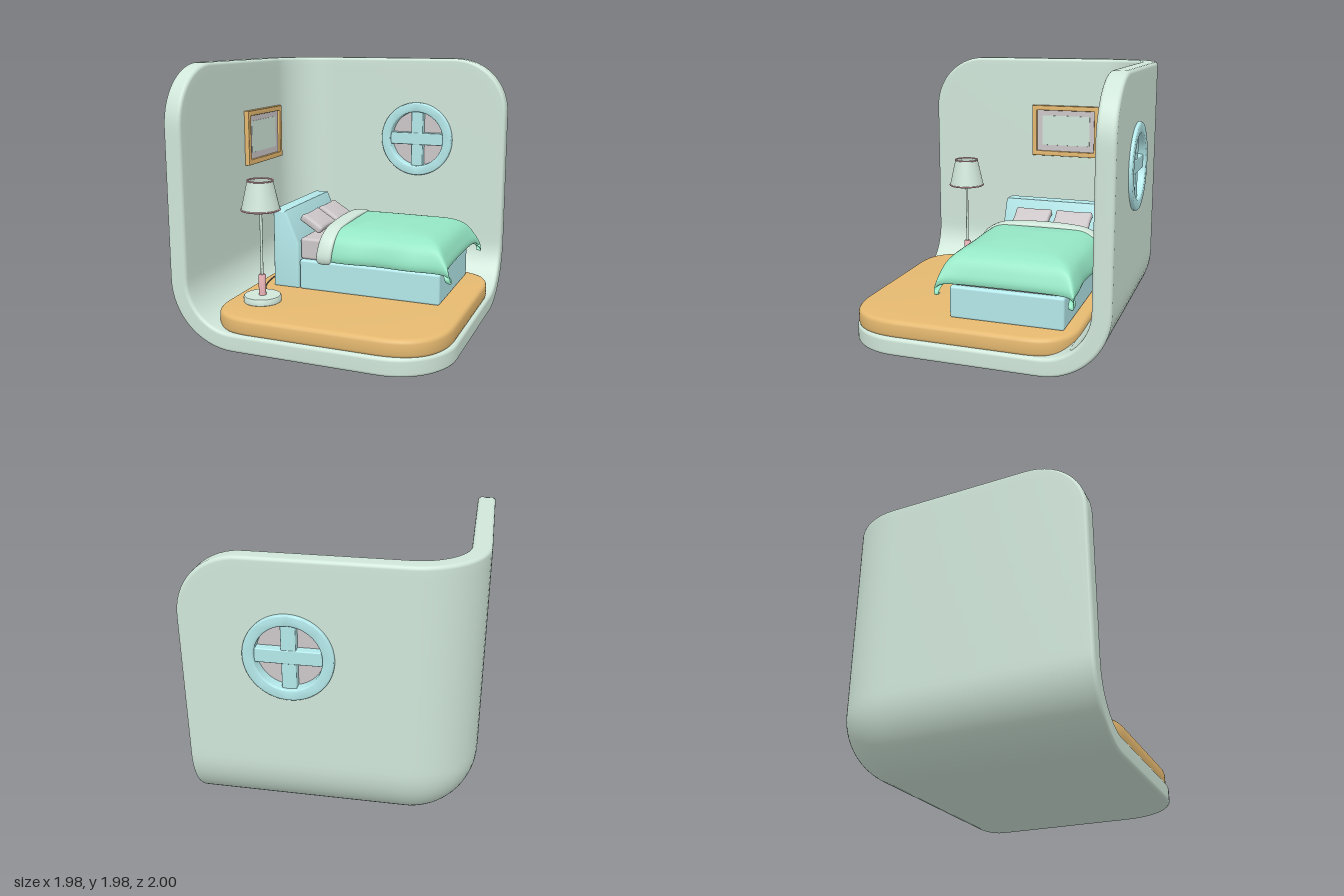
import * as THREE from 'three';
import { mergeVertices, toCreasedNormals } from 'three/addons/utils/BufferGeometryUtils.js';
import { RoundedBoxGeometry } from 'three/addons/geometries/RoundedBoxGeometry.js';
import { ParametricGeometry } from 'three/addons/geometries/ParametricGeometry.js';

const WALL = 0xd0e6d9, TAN = 0xe5b970, BLUE = 0xb4e8ea, GREEN = 0x94e6c4, PINK = 0xe6b0b4, GREY = 0xccc6c8, DARK = 0x8a8482;

function add(parent, name, geometry, color, side = THREE.FrontSide) {
  const mesh = new THREE.Mesh(geometry, new THREE.MeshStandardMaterial({ color, side }));
  mesh.name = name;
  parent.add(mesh);
  return mesh;
}

// Box given by its min and max corners, with rounded edges
function box(parent, name, color, [x0, y0, z0], [x1, y1, z1], r = 0.012) {
  const mesh = add(parent, name, new RoundedBoxGeometry(x1 - x0, y1 - y0, z1 - z0, 3, r), color);
  mesh.position.set((x0 + x1) / 2, (y0 + y1) / 2, (z0 + z1) / 2);
  return mesh;
}

// Bevelled extrusion from z = 0 to z = depth that keeps the outline size
function slab(shape, depth, bevel) {
  const g = new THREE.ExtrudeGeometry(shape, {
    depth: depth - 2 * bevel, bevelThickness: bevel, bevelSize: bevel, bevelOffset: -bevel,
    bevelSegments: 3, curveSegments: 32,
  });
  return toCreasedNormals(g.translate(0, 0, bevel), 0.6);
}

const WINDOW = { x: 0.25, y: 1.307 };

// Three walls of a rounded cube corner, with thickness, a bevelled rim and a window hole
function roomShell() {
  const L = 1.975, r = 0.48, R = 0.43, t = 0.132, b = 0.025, N = 36, hole = 0.262;
  const origin = [-0.99, 0, -0.975], wx = WINDOW.x - origin[0], wy = WINDOW.y;
  const positions = [], index = [];
  const point = (k, u, v, shrink, depth) => {
    const size = L - shrink, rc = R - shrink, c = [u * size, v * size];
    const a = c[0] - size + rc, e = c[1] - size + rc;
    if (a > 0 && e > 0) {
      const m = Math.max(a, e) / Math.hypot(a, e);
      c[0] = size - rc + a * m;
      c[1] = size - rc + e * m;
    }
    const dist = Math.hypot(c[0] - wx, c[1] - wy);
    if (k === 2 && dist < hole) { // push points out to the edge of the hole
      const m = hole / Math.max(dist, 1e-6);
      c[0] = wx + (c[0] - wx) * m;
      c[1] = wy + (c[1] - wy) * m;
    }
    const p = [0, 0, 0];
    p[(k + 1) % 3] = c[0];
    p[(k + 2) % 3] = c[1];
    const q = p.map((w) => Math.max(w, r)), d = p.map((w, i) => w - q[i]);
    const s = (r - depth) / Math.hypot(...d);
    return q.map((w, i) => w + d[i] * s);
  };
  const inHole = (i) => positions[3 * i + 2] < 0.2
    && Math.hypot(positions[3 * i] - wx, positions[3 * i + 1] - wy) < hole + 1e-4;
  const grid = (nu, nv, f, flip) => {
    const start = positions.length / 3;
    for (let i = 0; i <= nu; i++) for (let j = 0; j <= nv; j++) positions.push(...f(i, j));
    for (let i = 0; i < nu; i++) for (let j = 0; j < nv; j++) {
      const p = start + i * (nv + 1) + j, q = p + nv + 1;
      if ([p, p + 1, q, q + 1].every(inHole)) continue;
      if (flip) index.push(p, p + 1, q + 1, p, q + 1, q);
      else index.push(p, q, q + 1, p, q + 1, p + 1);
    }
  };
  const rim = [];
  for (let i = 0; i <= 4; i++) {
    const a = (i / 4) * Math.PI / 2;
    rim.push([b - b * Math.sin(a), b - b * Math.cos(a)]);
  }
  const layers = [...rim, ...rim.map(([s, d]) => [s, t - d]).reverse()];
  for (let k = 0; k < 3; k++) {
    grid(N, N, (i, j) => point(k, i / N, j / N, b, 0), true);
    grid(N, N, (i, j) => point(k, i / N, j / N, b, t), false);
    grid(2 * N, layers.length - 1, (i, j) =>
      point(k, Math.min(1, 2 - i / N), Math.min(1, i / N), ...layers[j]), false);
  }
  let g = new THREE.BufferGeometry();
  g.setAttribute('position', new THREE.Float32BufferAttribute(positions, 3));
  g.setIndex(index);
  g = mergeVertices(g, 1e-4);
  g.computeVertexNormals();
  return g.translate(...origin);
}

// Cushion: a rounded box with pinched sides and a fuller middle
function pillowGeometry(w, h, d) {
  let g = new THREE.BoxGeometry(w, h, d, 14, 6, 18);
  const P = g.attributes.position, r = 0.022, p = new THREE.Vector3();
  const lim = new THREE.Vector3(w / 2 - r, h / 2 - r, d / 2 - r);
  for (let i = 0; i < P.count; i++) {
    p.fromBufferAttribute(P, i);
    const q = p.clone().clamp(lim.clone().negate(), lim);
    p.sub(q).setLength(r).add(q);
    const a = 1 - (2 * p.x / w) ** 2, c = 1 - (2 * p.z / d) ** 2;
    P.setXYZ(i, p.x * (1 - 0.09 * c), p.y * (0.88 + 0.14 * a * c), p.z * (1 - 0.05 * a));
  }
  g.deleteAttribute('uv');
  g.deleteAttribute('normal');
  g = mergeVertices(g, 1e-5);
  g.computeVertexNormals();
  return g;
}

const curve = (pts) => new THREE.CatmullRomCurve3(pts.map(([x, y]) => new THREE.Vector3(x, y, 0)));
// Cloth profiles: distance outwards and drop from the top
const sideDrape = curve([[0, 0], [0.2, 0.008], [0.34, 0.03], [0.43, 0.085], [0.47, 0.16], [0.482, 0.225], [0.47, 0.256], [0.445, 0.25]]);
const footDrape = curve([[-0.14, 0.028], [0, 0.015], [0.15, 0], [0.5, 0.01], [0.66, 0.032], [0.74, 0.08], [0.785, 0.16], [0.8, 0.215], [0.79, 0.245], [0.76, 0.235]]);
const TOP = 0.755, MID = -0.2;

function blanketPoint(u, v, out) {
  const t = v * 2 - 1, sign = Math.sign(t);
  const f = footDrape.getPoint(u), s = sideDrape.getPoint(Math.abs(t));
  const corner = Math.max(0, f.x) * (f.y / 0.245) * (s.y / 0.258);
  const drop = (Math.abs(f.y) ** 4 + Math.abs(s.y) ** 4) ** 0.25;
  const wave = 0.008 * Math.sin(f.x * 13 + sign) * s.y / 0.258;
  out.set(f.x + 0.08 * corner, TOP - drop - 0.03 * corner * corner, MID + sign * (s.x + wave + 0.025 * corner));
}

// Flattened tube that follows the side profile across the bed
function foldPoint(u, v, out) {
  const t = (u * 2 - 1) * 0.9, sign = Math.sign(t), a = Math.abs(t);
  const p = sideDrape.getPoint(a), n = sideDrape.getTangent(a);
  const end = Math.sqrt(Math.max(0, 1 - Math.abs(u * 2 - 1) ** 16));
  const phi = v * Math.PI * 2, c = Math.cos(phi), s = Math.sin(phi);
  const across = 0.06 * end * Math.sign(c) * Math.abs(c) ** 0.6;
  const lift = 0.005 + 0.024 * end * Math.sign(s) * Math.abs(s) ** 0.7;
  out.set(-0.11 + across + 0.008 * Math.sin(t * 6), TOP - 0.022 - p.y * 0.92 + n.x * lift, MID + sign * (p.x + n.y * lift));
}

// Rounded rectangle, one corner size per corner, anticlockwise from (x0, y0)
function roundedRect(x0, y0, x1, y1, [a, b, c, d]) {
  const s = new THREE.Shape();
  s.moveTo(x0 + a, y0);
  s.lineTo(x1 - b, y0).quadraticCurveTo(x1, y0, x1, y0 + b);
  s.lineTo(x1, y1 - c).quadraticCurveTo(x1, y1, x1 - c, y1);
  s.lineTo(x0 + d, y1).quadraticCurveTo(x0, y1, x0, y1 - d);
  s.lineTo(x0, y0 + a).quadraticCurveTo(x0, y0, x0 + a, y0);
  return s;
}

const polygon = (pts) => new THREE.Shape(pts.map(([x, y]) => new THREE.Vector2(x, y)));

export function createModel() {
  const model = new THREE.Group();
  model.name = 'bedroom';
  add(model, 'roomShell', roomShell(), WALL);

  // Raised floor
  add(model, 'floor', slab(roundedRect(-0.73, -0.98, 0.962, 0.705, [0.34, 0.44, 0.34, 0.34]), 0.13, 0.03)
    .rotateX(-Math.PI / 2).translate(0, 0.12, 0), TAN);

  // Round window
  const win = new THREE.Group();
  win.name = 'window';
  win.position.set(WINDOW.x, WINDOW.y, 0);
  model.add(win);
  const ring = new THREE.Shape().absarc(0, 0, 0.305, 0, Math.PI * 2);
  ring.holes.push(new THREE.Path().absarc(0, 0, 0.227, 0, Math.PI * 2, true));
  add(win, 'windowFrame', slab(ring, 0.185, 0.012).translate(0, 0, -1), BLUE);
  add(win, 'windowPane', new THREE.CylinderGeometry(0.24, 0.24, 0.02, 48).rotateX(Math.PI / 2).translate(0, 0, -0.907), GREY);
  box(win, 'verticalBar', BLUE, [-0.05, -0.24, -0.975], [0.05, 0.24, -0.84], 0.008);
  box(win, 'horizontalBar', BLUE, [-0.24, -0.05, -0.978], [0.24, 0.05, -0.837], 0.008);

  // Wall picture
  const picture = new THREE.Group();
  picture.name = 'wallPicture';
  model.add(picture);
  const frame = polygon([[-0.108, 1.16], [0.465, 1.16], [0.465, 1.585], [-0.108, 1.585]]);
  frame.holes.push(polygon([[-0.07, 1.2], [-0.07, 1.545], [0.427, 1.545], [0.427, 1.2]]));
  add(picture, 'pictureFrame', slab(frame, 0.045, 0.004).rotateY(Math.PI / 2).translate(-0.865, 0, 0), TAN);
  box(picture, 'pictureMat', GREY, [-0.87, 1.19, -0.435], [-0.842, 1.555, 0.08], 0.002);
  box(picture, 'pictureSheet', WALL, [-0.86, 1.25, -0.385], [-0.84, 1.5, 0.025], 0.001);

  // Bed
  const bed = new THREE.Group();
  bed.name = 'bed';
  model.add(bed);
  box(bed, 'bedBase', BLUE, [-0.35, 0.245, -0.61], [0.757, 0.478, 0.22], 0.018);
  const head = polygon([[-0.57, 0.245], [-0.36, 0.245], [-0.36, 0.6], [-0.465, 0.85], [-0.57, 0.85]]);
  add(bed, 'headboard', slab(head, 0.835, 0.018).translate(0, 0, -0.617), BLUE);
  box(bed, 'mattress', GREY, [-0.35, 0.478, -0.59], [0.735, 0.645, 0.2], 0.022);
  for (const z of [-0.383, -0.05]) {
    const pillow = add(bed, 'pillow', pillowGeometry(0.2, 0.07, 0.3), GREY);
    pillow.position.set(-0.308, 0.732, z);
    pillow.rotation.z = -0.55;
  }
  add(bed, 'blanket', new ParametricGeometry(blanketPoint, 72, 80), GREEN, THREE.DoubleSide);
  add(bed, 'blanketFold', new ParametricGeometry(foldPoint, 80, 28), WALL, THREE.DoubleSide);

  // Floor lamp
  const lamp = new THREE.Group();
  lamp.name = 'floorLamp';
  lamp.position.set(-0.482, 0, 0.578);
  model.add(lamp);
  const lathe = (name, color, pts, side) => add(lamp, name,
    toCreasedNormals(new THREE.LatheGeometry(pts.map(([x, y]) => new THREE.Vector2(x, y)), 48), 0.7), color, side);
  lathe('lampBase', WALL, [[0, 0.245], [0.132, 0.245], [0.138, 0.252], [0.138, 0.288], [0.132, 0.296], [0, 0.296]]);
  lathe('lampGrip', PINK, [[0.027, 0.29], [0.027, 0.445], [0.022, 0.452], [0, 0.452]]);
  lathe('lampPole', WALL, [[0.01, 0.44], [0.01, 0.96], [0, 0.96]]);
  lathe('bulbSocket', PINK, [[0, 0.93], [0.024, 0.93], [0.024, 0.985], [0, 0.985]]);
  lathe('lampShade', WALL, [[0.14, 0.935], [0.093, 1.147]], THREE.DoubleSide);
  for (const [radius, y] of [[0.139, 0.936], [0.092, 1.147]])
    add(lamp, 'shadeTrim', new THREE.TorusGeometry(radius, 0.006, 8, 48).rotateX(Math.PI / 2).translate(0, y, 0), PINK);

  // Power cord along the floor
  const cord = new THREE.CatmullRomCurve3([[-0.51, 0.45], [-0.53, 0.41], [-0.6, 0.3], [-0.64, 0.14], [-0.655, -0.1], [-0.66, -0.4], [-0.662, -0.63]]
    .map(([x, z]) => new THREE.Vector3(x, 0.264, z)));
  add(model, 'powerCord', new THREE.TubeGeometry(cord, 60, 0.005, 8), DARK);
  return model;
}
